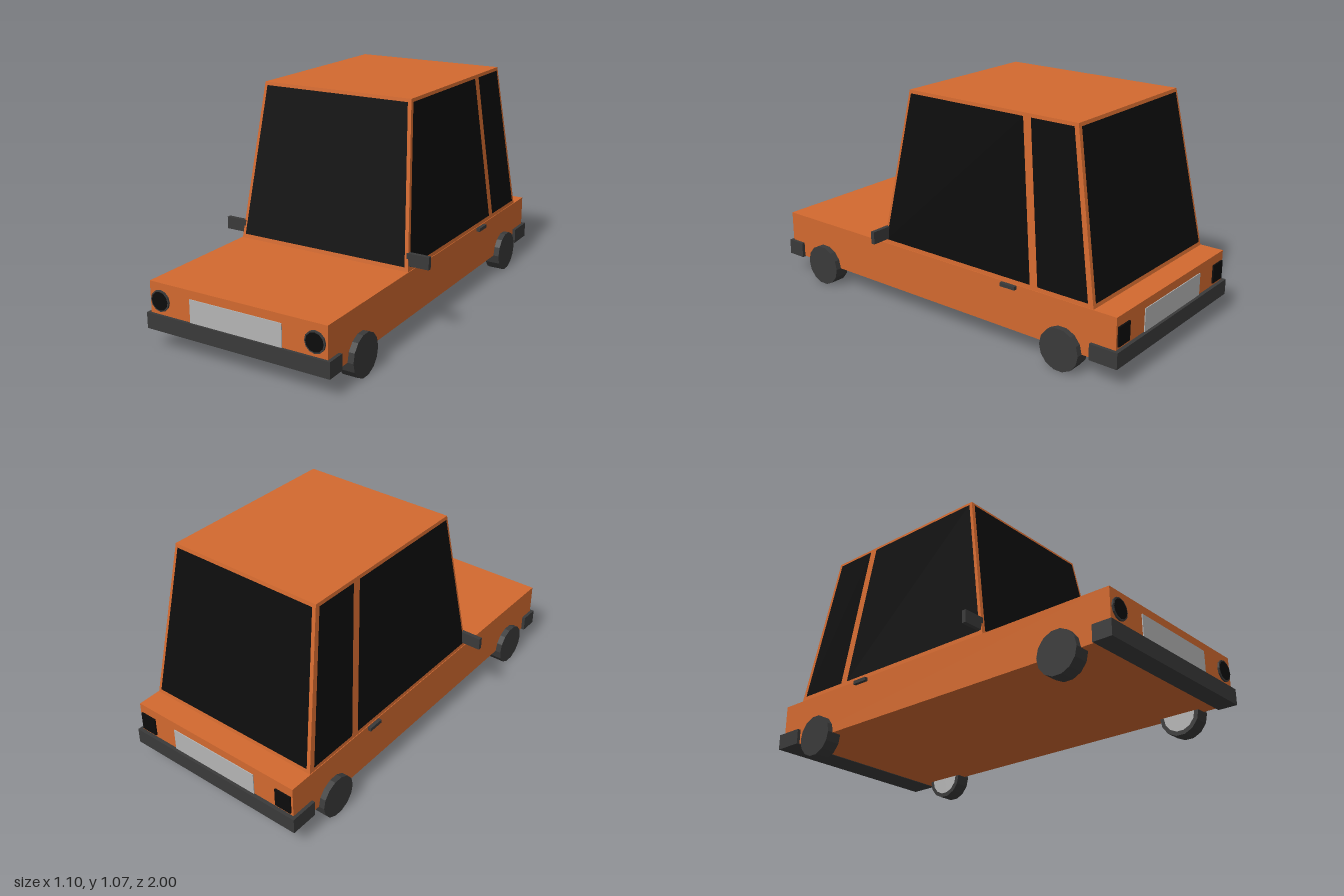
import * as THREE from 'three';

const mat = (color, extra = {}) => new THREE.MeshStandardMaterial({ color, flatShading: true, ...extra });

export function createModel() {
  const car = new THREE.Group();
  car.name = 'car';
  const paint = mat(0xd2692f), dark = mat(0x3a3a3a), black = mat(0x0c0c0c);
  const grey = mat(0xb4b4b4), glass = mat(0x0c0c0c, { side: THREE.DoubleSide });

  const add = (name, geometry, material, x = 0, y = 0, z = 0) => {
    const mesh = new THREE.Mesh(geometry, material);
    mesh.name = name;
    mesh.position.set(x, y, z);
    car.add(mesh);
    return mesh;
  };
  // Box given by its lower and upper corners
  const box = (name, material, [x0, y0, z0], [x1, y1, z1]) =>
    add(name, new THREE.BoxGeometry(x1 - x0, y1 - y0, z1 - z0), material,
      (x0 + x1) / 2, (y0 + y1) / 2, (z0 + z1) / 2);

  // Lower body
  box('body', paint, [-0.458, 0.1, -0.98], [0.458, 0.32, 0.985]);

  // Tapered cabin: each wall is a linear function of height
  const Y0 = 0.32, Y1 = 1.07;
  const wall = (bottom, top) => y => bottom + (top - bottom) * (y - Y0) / (Y1 - Y0);
  const halfWidth = wall(0.455, 0.39), frontZ = wall(0.325, 0.195), rearZ = wall(-0.865, -0.725);
  const cabin = new THREE.BoxGeometry(1, 1, 1);
  const p = cabin.attributes.position;
  for (let i = 0; i < p.count; i++) {
    const y = p.getY(i) > 0 ? Y1 : Y0;
    p.setXYZ(i, Math.sign(p.getX(i)) * halfWidth(y), y, p.getZ(i) > 0 ? frontZ(y) : rearZ(y));
  }
  cabin.computeVertexNormals();
  add('cabin', cabin, paint);

  // Window panes, lying just proud of the cabin walls
  const LOW = 0.34, HIGH = 1.055, GAP = 0.003;
  const pane = (name, corners) => {
    const g = new THREE.BufferGeometry();
    g.setAttribute('position', new THREE.Float32BufferAttribute(corners.flat(), 3));
    g.setIndex([0, 1, 2, 0, 2, 3]);
    g.computeVertexNormals();
    add(name, g, glass);
  };
  for (const [name, zAt, s] of [['windshield', frontZ, 1], ['rearWindow', rearZ, -1]]) {
    const corner = (side, y) => [s * side * (halfWidth(y) - 0.016), y, zAt(y) + s * GAP];
    pane(name, [corner(-1, LOW), corner(1, LOW), corner(1, HIGH), corner(-1, HIGH)]);
  }
  for (const s of [1, -1]) {
    const side = s > 0 ? 'left' : 'right';
    const sidePane = (name, f0, r0, f1, r1) => {
      const c = (y, z) => [s * (halfWidth(y) + GAP), y, z];
      const pts = [c(LOW, f0), c(LOW, r0), c(HIGH, r1), c(HIGH, f1)];
      pane(side + name, s > 0 ? pts : pts.reverse());
    };
    sidePane('DoorWindow', 0.308, -0.54, 0.184, -0.45);
    sidePane('QuarterWindow', -0.58, -0.838, -0.49, -0.708);

    // Mirror and door handle
    add(side + 'Mirror', new THREE.BoxGeometry(0.11, 0.06, 0.02), dark, s * 0.497, 0.375, 0.305);
    add(side + 'DoorHandle', new THREE.BoxGeometry(0.03, 0.017, 0.08), dark, s * 0.46, 0.308, -0.43);

    // Wheels with a pale inner disc
    for (const [end, z] of [['Front', 0.74], ['Rear', -0.715]]) {
      const wheel = add(side + end + 'Wheel', new THREE.CylinderGeometry(0.1, 0.1, 0.075, 14), dark, s * 0.449, 0.1, z);
      wheel.rotation.z = -s * Math.PI / 2;
      const disc = add(side + end + 'WheelInner', new THREE.CircleGeometry(0.08, 14), grey, s * 0.41, 0.1, z);
      disc.rotation.y = -s * Math.PI / 2;
    }

    // Round headlight: rim and lens
    for (const [name, r, depth, m] of [['HeadlightRim', 0.05, 0.02, dark], ['HeadlightLens', 0.043, 0.024, black]]) {
      const lamp = add(side + name, new THREE.CylinderGeometry(r, r, depth, 12), m, s * 0.4, 0.238, 0.983);
      lamp.rotation.x = Math.PI / 2;
    }
    // Square tail light
    add(side + 'TailLight', new THREE.BoxGeometry(0.085, 0.09, 0.02), black, s * 0.405, 0.23, -0.978);
  }

  // Grille, rear panel and bumpers
  box('grille', grey, [-0.238, 0.165, 0.97], [0.238, 0.28, 0.989]);
  box('rearPanel', grey, [-0.238, 0.165, -0.984], [0.238, 0.28, -0.97]);
  box('frontBumper', dark, [-0.474, 0.097, 0.905], [0.474, 0.172, 0.998]);
  box('rearBumper', dark, [-0.474, 0.097, -0.998], [0.474, 0.172, -0.86]);

  // The car stands very slightly turned
  car.rotation.y = -0.0075;
  const model = new THREE.Group();
  model.add(car);
  return model;
}
